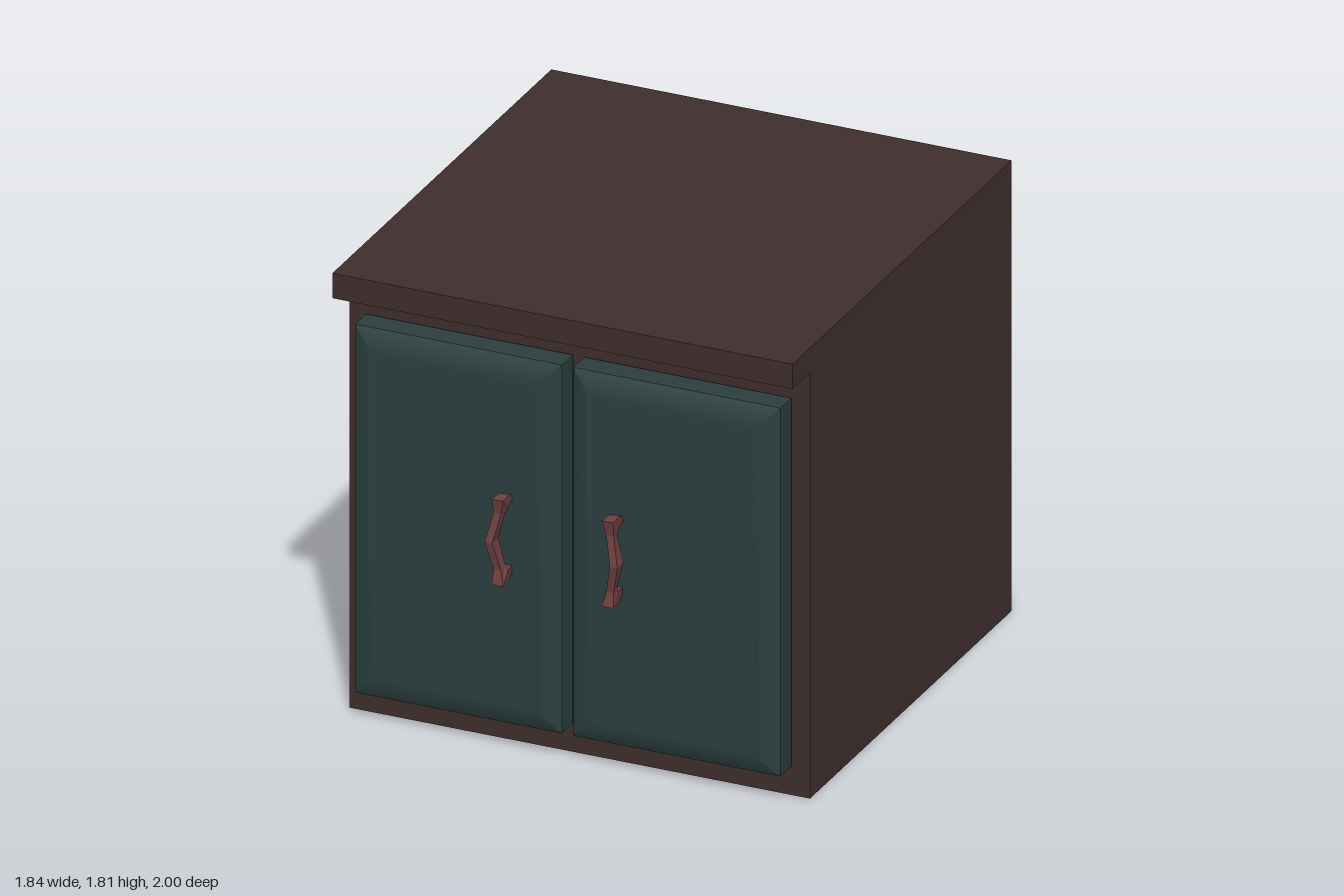
import * as THREE from 'three';
import { toCreasedNormals } from 'three/addons/utils/BufferGeometryUtils.js';

const material = (color) => new THREE.MeshStandardMaterial({ color });

// Skin a list of four-cornered rings and close both ends
function loft(rings) {
  const position = rings.flat(2);
  const index = [];
  const quad = (a, b, c, d) => index.push(a, b, c, a, c, d);
  for (let i = 0; i < rings.length - 1; i++) {
    for (let j = 0; j < 4; j++) {
      const k = (j + 1) % 4;
      quad(i * 4 + j, i * 4 + k, i * 4 + 4 + k, i * 4 + 4 + j);
    }
  }
  const e = (rings.length - 1) * 4;
  quad(3, 2, 1, 0);
  quad(e, e + 1, e + 2, e + 3);
  const geometry = new THREE.BufferGeometry();
  geometry.setAttribute('position', new THREE.Float32BufferAttribute(position, 3));
  geometry.setIndex(index);
  return geometry;
}

// Side profile (z, y) of the body with its overhanging top, extruded across x
function bodyGeometry() {
  const profile = new THREE.Shape([
    [-1, 0], [0.75, 0], [0.75, 1.71], [0.9, 1.71], [0.9, 1.81], [-1, 1.81],
  ].map(([z, y]) => new THREE.Vector2(z, y)));
  return new THREE.ExtrudeGeometry(profile, { depth: 1.84, bevelEnabled: false })
    .translate(0, 0, -0.92)
    .rotateY(-Math.PI / 2);
}

// Door panel with a soft chamfer around its front
function doorGeometry(side) {
  const cx = side * 0.4365, cy = 0.86, w = 0.4135, h = 0.74;
  const rings = [[0, 0.76], [0, 0.855], [0.07, 0.89], [0.1, 0.89]].map(([inset, z]) => {
    const a = w - inset, b = h - inset;
    return [[cx - a, cy - b, z], [cx + a, cy - b, z], [cx + a, cy + b, z], [cx - a, cy + b, z]];
  });
  return toCreasedNormals(loft(rings), 0.5);
}

// Bent pull handle: sections run out from the door, down the grip and back
function handleGeometry(side) {
  const midY = 0.903;
  // outer z, outer y, inner z, inner y (y from the middle), x from, x to
  const upper = [
    [0.885, 0.155, 0.885, 0.13, 0.208, 0.235],
    [0.93, 0.172, 0.935, 0.127, 0.2, 0.24],
    [0.988, 0.172, 0.945, 0.122, 0.197, 0.243],
    [0.977, 0.115, 0.945, 0.1, 0.21, 0.24],
  ];
  const lower = upper.map(([oz, oy, iz, iy, a, b]) => [oz, -oy, iz, -iy, a, b]).reverse();
  const sections = [...upper, [1, 0, 0.945, 0, 0.235, 0.265], ...lower];
  return loft(sections.map(([oz, oy, iz, iy, a, b]) => {
    const x0 = side > 0 ? a : -b, x1 = side > 0 ? b : -a;
    return [
      [x0, midY + iy, iz], [x1, midY + iy, iz],
      [x1, midY + oy, oz], [x0, midY + oy, oz],
    ];
  })).toNonIndexed();
}

export function createModel() {
  const model = new THREE.Group();
  model.name = 'cabinet';
  const wood = material(0x402e2e);
  const paint = material(0x2b3f3e);
  const grip = material(0x6e4040);

  const add = (name, geometry, mat) => {
    if (!geometry.attributes.normal) geometry.computeVertexNormals();
    const mesh = new THREE.Mesh(geometry, mat);
    mesh.name = name;
    model.add(mesh);
  };

  add('body', bodyGeometry(), wood);
  for (const [label, side] of [['left', 1], ['right', -1]]) {
    add(`${label}Door`, doorGeometry(side), paint);
    add(`${label}Handle`, handleGeometry(side), grip);
  }
  return model;
}
